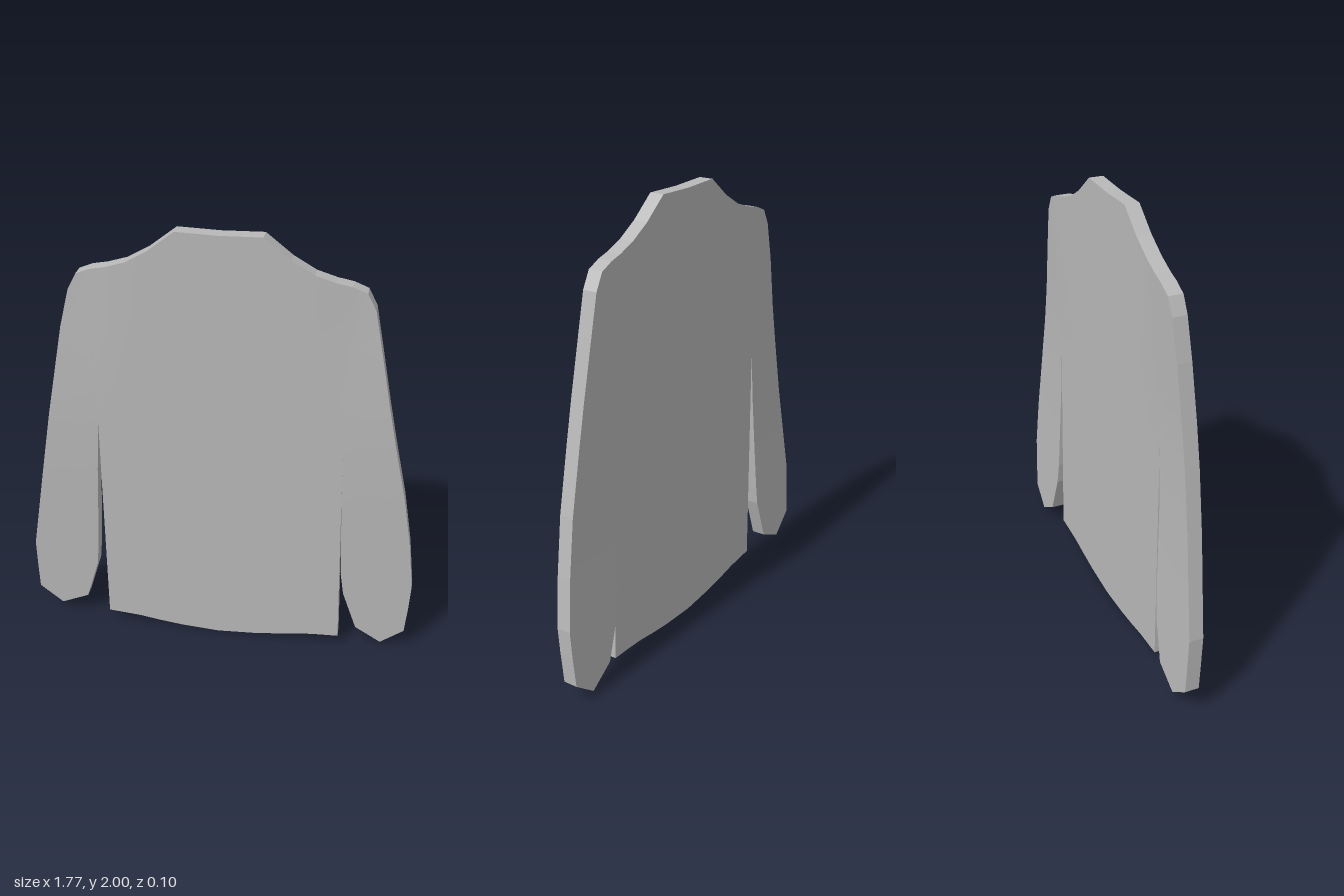
import * as THREE from 'three';

const FRONT = 0.047, BACK = -0.016; // faces of the flat panel
const JOIN = 4; // rows above this index are sewn to the neighbouring part

const smooth = THREE.MathUtils.smoothstep;

// shoulders lean slightly back; sleeves swing back towards the cuffs
function lean(x, y, isSleeve) {
  const shoulder = -0.012 * smooth(Math.abs(x), 0.36, 0.6) * smooth(y, 1.2, 1.8);
  const hang = isSleeve ? -0.033 * Math.max(0, (0.95 - y) / 0.93) : 0;
  return shoulder + hang;
}

// Thick cloth panel from rows of [x, y] points (top to bottom, x increasing).
function clothPanel(name, rows, isSleeve, joinLeft, joinRight, material) {
  const n = rows.length, m = rows[0].length;
  const pos = [], index = [];
  const add = (p, z) => pos.push(p[0], p[1], z + lean(p[0], p[1], isSleeve)) / 3 - 1;

  // front and back faces
  for (const z of [FRONT, BACK]) {
    const base = pos.length / 3;
    rows.forEach(row => row.forEach(p => add(p, z)));
    for (let i = 0; i < n - 1; i++) {
      for (let j = 0; j < m - 1; j++) {
        const a = base + i * m + j, b = a + 1, c = a + m, d = c + 1;
        if (z === FRONT) index.push(a, c, b, b, c, d);
        else index.push(a, b, c, b, d, c);
      }
    }
  }

  // rim, with its own vertices so the edges stay sharp
  const wall = (p, q) => {
    if (Math.hypot(p[0] - q[0], p[1] - q[1]) < 1e-6) return;
    const a = add(p, FRONT), b = add(p, BACK), c = add(q, BACK), d = add(q, FRONT);
    index.push(a, b, c, a, c, d);
  };
  for (let j = 0; j < m - 1; j++) {
    wall(rows[0][j + 1], rows[0][j]);
    wall(rows[n - 1][j], rows[n - 1][j + 1]);
  }
  for (let i = 0; i < n - 1; i++) {
    if (!(joinLeft && i < JOIN)) wall(rows[i][0], rows[i + 1][0]);
    if (!(joinRight && i < JOIN)) wall(rows[i + 1][m - 1], rows[i][m - 1]);
  }

  const geometry = new THREE.BufferGeometry();
  geometry.setAttribute('position', new THREE.Float32BufferAttribute(pos, 3));
  geometry.setIndex(index);
  geometry.computeVertexNormals();
  const mesh = new THREE.Mesh(geometry, material);
  mesh.name = name;
  return mesh;
}

// Evenly spaced points between the two edges of a sleeve
function sleeveRows(pairs) {
  const steps = 5;
  return pairs.map(([x0, y0, x1, y1]) =>
    Array.from({ length: steps + 1 }, (_, k) => {
      const t = k / steps;
      return [x0 + (x1 - x0) * t, y0 + (y1 - y0) * t];
    }));
}

export function createModel() {
  const cloth = new THREE.MeshStandardMaterial({ color: 0xb8b8b8 });
  cloth.name = 'grey cloth';
  const group = new THREE.Group();
  group.name = 'shirt';

  // body columns: x, neckline/shoulder height, hem height
  const half = [
    [0, 1.995, 0.003], [0.178, 2, 0.014], [0.29, 1.912, 0.028],
    [0.385, 1.857, 0.043], [0.47, 1.829, 0.05], [0.535, 1.815, 0.055],
  ];
  const columns = [
    ...half.slice(1).reverse().map(([x, t, b]) => [-x, t, b]), ...half,
  ];
  const levels = [1.7, 1.55, 1.3, 1.12, 0.85, 0.6, 0.4, 0.29];
  // the left side seam flares a little towards the hem
  const flare = (x, y) => x + (x > 0.5 ? 0.032 * Math.max(0, (1.12 - y) / 1.07) : 0);
  const bodyRows = [
    columns.map(([x, top]) => [x, top]),
    ...levels.map(y => columns.map(([x]) => [flare(x, y), y])),
    columns.map(([x, , hem]) => [flare(x, hem), hem]),
  ];
  group.add(clothPanel('body', bodyRows, false, true, true, cloth));

  // sleeves: one [x, y, x, y] row per pair of edge points
  const leftSleeve = [
    [0.535, 1.815, 0.595, 1.79], [0.535, 1.7, 0.632, 1.72],
    [0.535, 1.55, 0.667, 1.55], [0.535, 1.3, 0.717, 1.3],
    [0.535, 1.12, 0.755, 1.12], [0.543, 0.85, 0.815, 0.85],
    [0.553, 0.6, 0.858, 0.6], [0.562, 0.4, 0.885, 0.37],
    [0.578, 0.29, 0.88, 0.25], [0.645, 0.095, 0.87, 0.105],
    [0.765, 0.02, 0.765, 0.02],
  ];
  const rightSleeve = [
    [-0.595, 1.79, -0.535, 1.815], [-0.632, 1.72, -0.535, 1.7],
    [-0.675, 1.55, -0.535, 1.55], [-0.722, 1.3, -0.535, 1.3],
    [-0.757, 1.12, -0.535, 1.12], [-0.805, 0.85, -0.552, 0.85],
    [-0.85, 0.6, -0.566, 0.6], [-0.886, 0.4, -0.579, 0.4],
    [-0.887, 0.25, -0.588, 0.31], [-0.886, 0.135, -0.65, 0.105],
    [-0.78, 0.045, -0.78, 0.045],
  ];
  group.add(clothPanel('leftSleeve', sleeveRows(leftSleeve), true, true, false, cloth));
  group.add(clothPanel('rightSleeve', sleeveRows(rightSleeve), true, false, true, cloth));
  return group;
}
